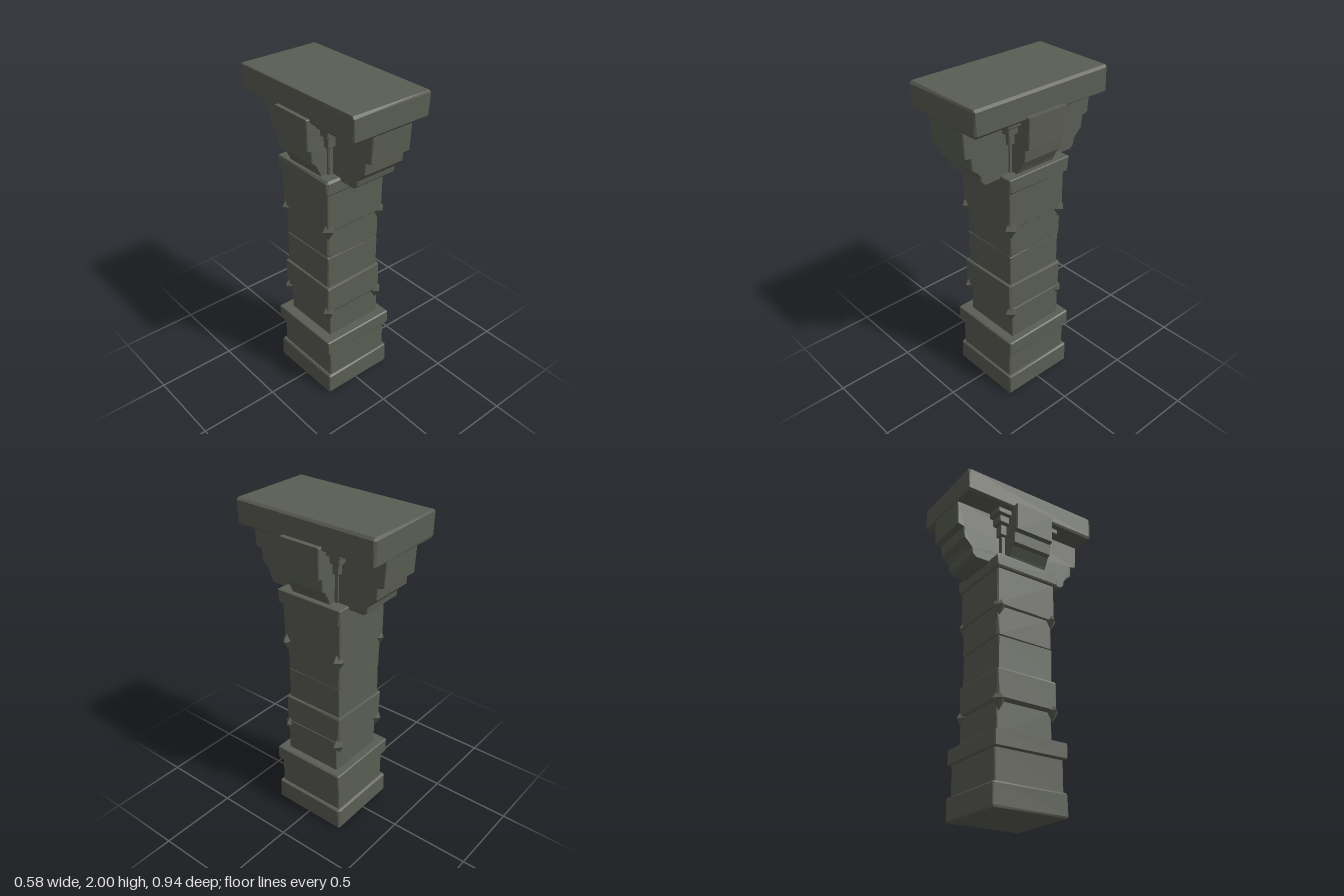
import * as THREE from 'three';
import { ConvexGeometry } from 'three/addons/geometries/ConvexGeometry.js';

export function createModel() {
  const group = new THREE.Group();
  const stone = new THREE.MeshStandardMaterial({ color: 0x5a5d53, flatShading: true });
  stone.name = 'greyStone';

  let seed = 7;
  const rand = () => (seed = (seed * 16807) % 2147483647) / 2147483647;

  const add = (name, geometry) => {
    const mesh = new THREE.Mesh(geometry, stone);
    mesh.name = name;
    group.add(mesh);
    return mesh;
  };

  // Rough-hewn block: every corner is chipped by a slightly different amount.
  // tilt raises the top edge on the +x side.
  function block(name, x0, x1, y0, y1, z0, z1, chip = 0.014, tilt = 0) {
    const points = [];
    const cut = () => chip * (0.25 + rand());
    for (const x of [x0, x1]) for (const y of [y0, y1]) for (const z of [z0, z1]) {
      const sx = x === x0 ? 1 : -1, sy = y === y0 ? 1 : -1, sz = z === z0 ? 1 : -1;
      const yy = y + (y === y1 && x === x1 ? tilt : 0);
      const cx = sx * cut(), cy = sy * cut(), cz = sz * cut();
      points.push(
        new THREE.Vector3(x, yy + cy * 0.6, z + cz * 0.6),
        new THREE.Vector3(x + cx * 0.6, yy, z + cz * 0.6),
        new THREE.Vector3(x + cx * 0.6, yy + cy * 0.6, z));
    }
    return add(name, new ConvexGeometry(points));
  }

  // Base and pedestal
  block('base', -0.225, 0.255, 0, 0.14, -0.25, 0.242, 0.018);
  block('pedestal', -0.207, 0.235, 0.12, 0.335, -0.23, 0.228);
  block('pedestalLedge', -0.235, 0.26, 0.325, 0.42, -0.247, 0.242);

  // Shaft blocks, stacked slightly out of line
  block('shaftBlock1', -0.17, 0.212, 0.41, 0.61, -0.195, 0.183, 0.012, 0.015);
  block('shaftBlock2', -0.2, 0.207, 0.605, 0.79, -0.208, 0.2, 0.02, 0.008);
  block('shaftBlock3', -0.187, 0.192, 0.785, 0.998, -0.195, 0.184);
  block('shaftBlock4', -0.187, 0.197, 0.99, 1.2, -0.203, 0.184, 0.02);
  block('shaftBlock5', -0.2, 0.207, 1.185, 1.44, -0.212, 0.2, 0.014);
  block('neckLedge', -0.22, 0.23, 1.43, 1.52, -0.225, 0.218, 0.02);

  // Faceted studs on the corners
  for (const y of [0.605, 1.19]) for (const sx of [-1, 1]) for (const sz of [-1, 1]) {
    const stud = add('cornerStud', new THREE.OctahedronGeometry(1));
    stud.scale.set(0.042, 0.068, 0.042);
    stud.position.set(sx * 0.187 + 0.006, y + (rand() - 0.5) * 0.015, sz * 0.185 - 0.004);
  }

  // Stepped bracket running through the capital; half is a list of [out, y]
  function bracket(name, half, from, to, alongZ) {
    const outline = [...half, ...half.map(([o, y]) => [-o, y]).reverse()];
    const shape = new THREE.Shape(outline.map(([o, y]) => new THREE.Vector2(o, y)));
    const bevel = 0.005;
    const geometry = new THREE.ExtrudeGeometry(shape, {
      depth: to - from - 2 * bevel, bevelEnabled: true, bevelSegments: 1,
      bevelSize: bevel, bevelThickness: bevel, bevelOffset: -bevel,
    });
    geometry.translate(0, 0, from + bevel);
    if (alongZ) geometry.rotateY(Math.PI / 2);
    add(name, geometry);
  }
  bracket('longBracket', [
    [0.32, 1.497], [0.345, 1.52], [0.35, 1.555], [0.375, 1.585], [0.405, 1.61],
    [0.41, 1.68], [0.45, 1.69], [0.46, 1.86],
  ], -0.125, 0.148, true);
  bracket('crossBracket', [
    [0.19, 1.5], [0.205, 1.54], [0.235, 1.595], [0.255, 1.61], [0.26, 1.68],
    [0.285, 1.69], [0.289, 1.872],
  ], -0.133, 0.138, false);

  // Stepped stone filling the inner corners of the brackets
  [[0.155, 1.5, 1.7], [0.175, 1.69, 1.77], [0.2, 1.76, 1.82], [0.225, 1.81, 1.86]]
    .forEach(([h, y0, y1]) => block('capitalCore', -h, h, y0, y1, -h, h, 0.01));

  // Top slab with worn corners
  block('topSlab', -0.266, 0.26, 1.845, 2, -0.468, 0.47, 0.024);

  return group;
}
